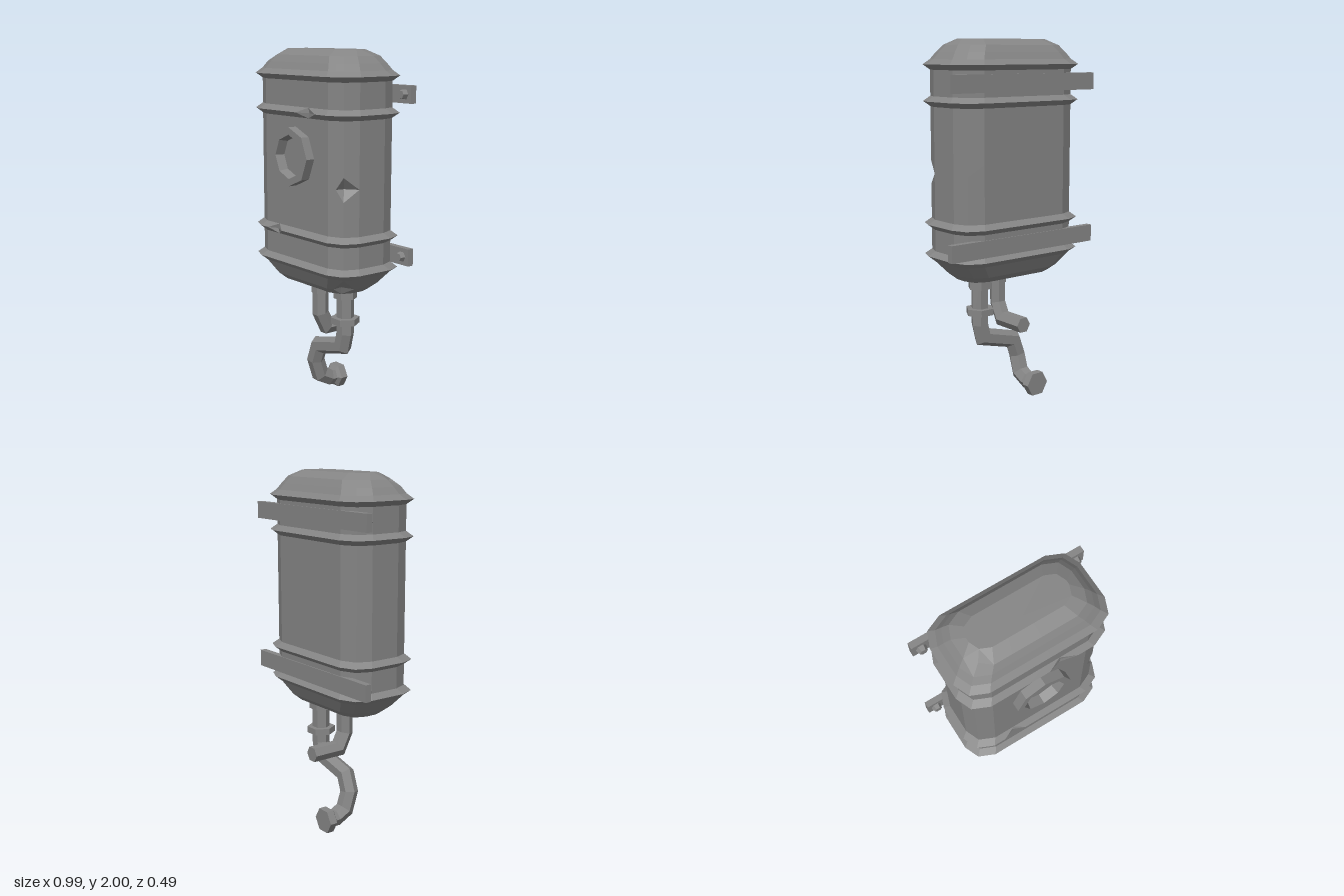
import * as THREE from 'three';

const material = new THREE.MeshStandardMaterial({ color: 0x858585, flatShading: true });
const V = (x, y, z) => new THREE.Vector3(x, y, z);

// Skin a stack of rings (counter-clockwise about the sweep direction), capped at both ends
function loft(rings) {
  const pos = [];
  const tri = (...pts) => pts.forEach(p => pos.push(p.x, p.y, p.z));
  const n = rings[0].length;
  const centre = r => r.reduce((s, p) => s.add(p), V(0, 0, 0)).divideScalar(n);
  const reach = (p, q) => Math.hypot(p.x + q.x, p.z + q.z);
  for (let i = 0; i < rings.length - 1; i++) {
    for (let j = 0; j < n; j++) {
      const k = (j + 1) % n;
      const [a, b, c, d] = [rings[i][j], rings[i][k], rings[i + 1][k], rings[i + 1][j]];
      // The outer diagonal gives dents a crisp diamond outline
      if (reach(a, c) >= reach(b, d)) {
        tri(a, b, c);
        tri(a, c, d);
      } else {
        tri(a, b, d);
        tri(b, c, d);
      }
    }
  }
  const first = rings[0], last = rings[rings.length - 1];
  const c0 = centre(first), c1 = centre(last);
  for (let j = 0; j < n; j++) {
    const k = (j + 1) % n;
    tri(c0, first[k], first[j]);
    tri(c1, last[j], last[k]);
  }
  const g = new THREE.BufferGeometry();
  g.setAttribute('position', new THREE.Float32BufferAttribute(pos, 3));
  g.computeVertexNormals();
  return g;
}

// Six-sided pipe with mitred joints; the path starts straight down
function pipeGeometry(points, radius) {
  let ring = [];
  for (let j = 0; j < 6; j++) {
    const a = j * Math.PI / 3;
    ring.push(V(Math.cos(a) * radius, 0, Math.sin(a) * radius).add(points[0]));
  }
  const rings = [ring];
  for (let i = 1; i < points.length; i++) {
    const dir = points[i].clone().sub(points[i - 1]).normalize();
    const normal = dir.clone();
    if (i < points.length - 1) normal.add(points[i + 1].clone().sub(points[i]).normalize());
    ring = ring.map(p => {
      const t = points[i].clone().sub(p).dot(normal) / dir.dot(normal);
      return p.clone().addScaledVector(dir, t);
    });
    rings.push(ring);
  }
  return loft(rings);
}

// Rounded-rectangle section; extra points along the front allow dents
const CZ = -0.011;
const frontSteps = [-1, -0.77, -0.57, -0.33, 0.13, 0.4, 0.68, 1];
function section([y, hx, hz]) {
  const c = 0.125 * Math.sqrt(hz / 0.233);
  const pts = frontSteps.map(f => [f * (hx - c), hz]);
  pts.push([hx - 0.64 * c, hz - 0.16 * c], [hx - 0.28 * c, hz - 0.32 * c], [hx, hz - c],
    [hx, c - hz], [hx - 0.28 * c, 0.32 * c - hz], [hx - c, -hz],
    [c - hx, -hz], [0.28 * c - hx, 0.32 * c - hz], [-hx, c - hz],
    [-hx, hz - c], [0.28 * c - hx, hz - 0.32 * c]);
  return pts.map(([x, z]) => V(x, y, z + CZ));
}

function tankGeometry() {
  const body = y => [y, 0.393, 0.203];
  const rib = y => [body(y - 0.028), [y, 0.425, 0.233], body(y + 0.028)];
  const rows = [
    [0.695, 0.285, 0.125], [0.73, 0.325, 0.165],
    ...rib(0.83), ...rib(1.005),
    body(1.22), body(1.285), body(1.35),
    ...rib(1.67), ...rib(1.865),
    [1.93, 0.366, 0.182], [1.967, 0.333, 0.158], [2.0, 0.275, 0.091],
  ];
  const rings = rows.map(section);
  // Dents in the ribs, front corner, lid and base
  const dent = (y, j, x, dy, z) => rings[rows.findIndex(r => r[0] === y)][j].add(V(x, dy, z));
  dent(1.005, 2, 0, 0, -0.03);
  dent(1.67, 5, 0, 0, -0.03);
  dent(1.285, 9, -0.035, 0, -0.03);
  dent(1.967, 18, 0.02, -0.015, -0.02);
  dent(0.73, 9, -0.02, 0.01, -0.02);
  return loft(rings);
}

export function createModel() {
  const model = new THREE.Group();
  const add = (name, geometry, x = 0, y = 0, z = 0, parent = model) => {
    const m = new THREE.Mesh(geometry, material);
    m.name = name;
    m.position.set(x, y, z);
    parent.add(m);
    return m;
  };
  // Hexagonal prism with corners pointing to the sides
  const hex = (r, h, r2 = r) => new THREE.CylinderGeometry(r, r2, h, 6).rotateY(Math.PI / 6);

  add('tank', tankGeometry());

  // Octagonal gauge rim with sloped recess
  const rim = [[0.16, 0], [0.16, 0.055], [0.12, 0.055], [0.108, 0.004]];
  const gauge = add('gaugeRim',
    new THREE.LatheGeometry(rim.map(([r, h]) => new THREE.Vector2(r, h)), 8), 0, 1.43, 0.188);
  gauge.rotation.x = Math.PI / 2;

  // Wall straps with a bolt at each end
  for (const y of [1.77, 0.9]) {
    const strap = new THREE.Group();
    strap.name = 'wallStrap';
    strap.position.set(0, y, -0.202);
    model.add(strap);
    add('strapBar', new THREE.BoxGeometry(0.99, 0.094, 0.036), 0, 0, 0, strap);
    for (const side of [-1, 1]) {
      const bolt = add('bolt', hex(0.022, 0.03, 0.03), side * 0.445, 0, 0.03, strap);
      bolt.rotation.x = Math.PI / 2;
    }
  }

  // Long outlet pipe with collar, nut and wall flange
  add('outletCollar', hex(0.067, 0.07), 0.165, 0.67, -0.022);
  add('outletNut', hex(0.081, 0.036), 0.165, 0.505, -0.022);
  add('outletPipe', pipeGeometry([
    V(0.165, 0.7, -0.022), V(0.165, 0.43, -0.022), V(0.145, 0.35, -0.022),
    V(-0.07, 0.295, -0.022), V(-0.105, 0.2, -0.022), V(-0.105, 0.1, -0.055),
    V(-0.105, 0.067, -0.12), V(-0.105, 0.067, -0.18)], 0.05));
  const flange = add('outletFlange', hex(0.073, 0.044), -0.105, 0.066, -0.185);
  const taper = add('flangeTaper', hex(0.048, 0.016, 0.073), -0.105, 0.066, -0.155);
  flange.rotation.x = taper.rotation.x = Math.PI / 2;

  // Short inlet pipe bending back to the wall
  add('inletCollar', hex(0.05, 0.06), 0, 0.67, 0.025);
  add('inletPipe', pipeGeometry([
    V(0, 0.7, 0.025), V(0, 0.52, 0.025), V(0, 0.432, -0.02), V(0, 0.432, -0.207)], 0.046));

  return model;
}
